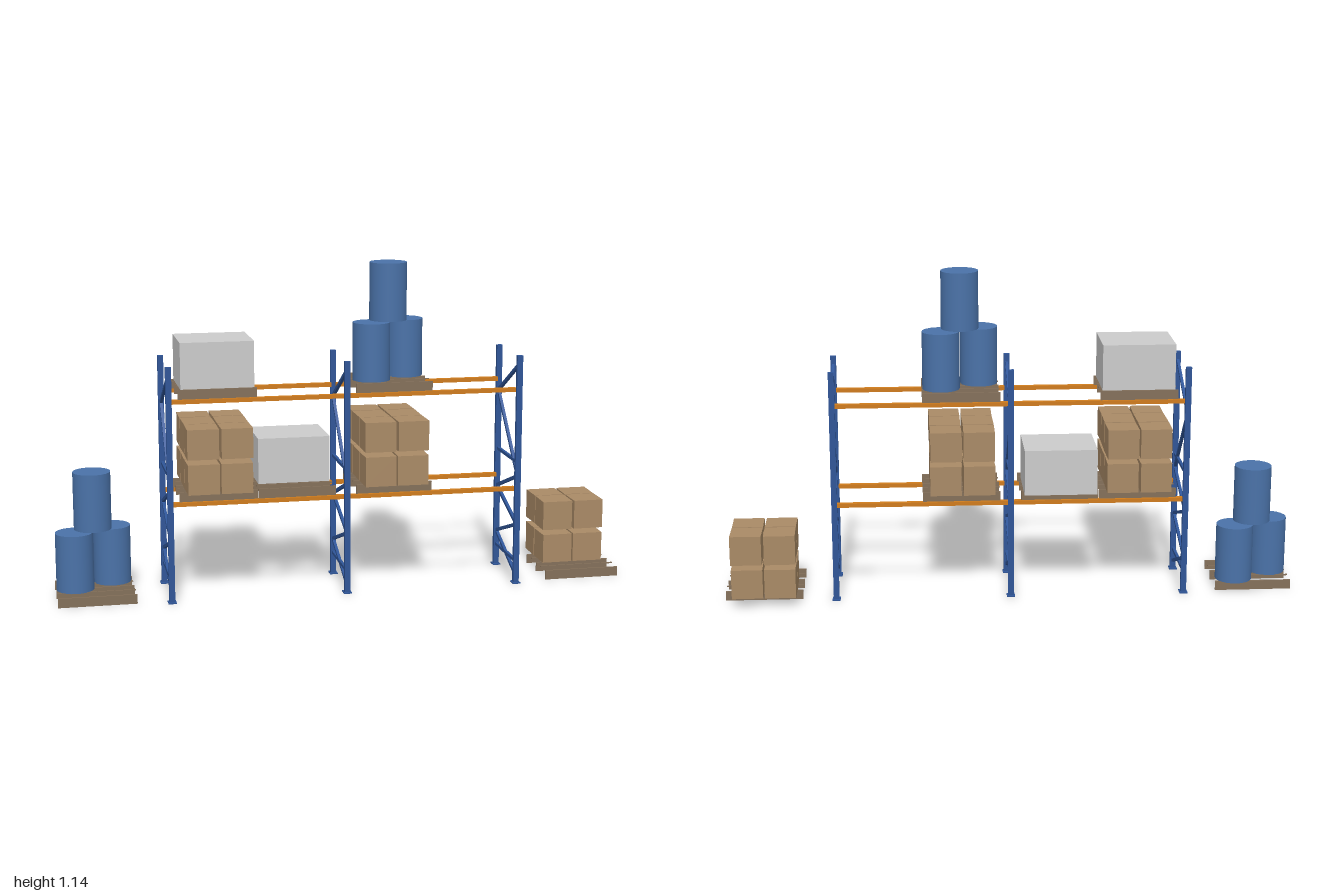
import * as THREE from 'three';

const paint = (color, flat = false) => new THREE.MeshStandardMaterial({ color, flatShading: flat });
const steelBlue = paint(0x2f5597);
const drumBlue = paint(0x4a72a8);
const orange = paint(0xd07c1c);
const cardboard = paint(0xa98a66);
const wood = paint(0x84705a);
const grey = paint(0xcccccc);

const FRONT = 0.14, BACK = -0.11;      // post positions in z
const LEVELS = [0.35, 0.705];          // top of the beams

function box(name, material, w, h, d, x, y, z) {
  const mesh = new THREE.Mesh(new THREE.BoxGeometry(w, h, d), material);
  mesh.name = name;
  mesh.position.set(x, y, z);
  return mesh;
}

function group(name, ...children) {
  const g = new THREE.Group();
  g.name = name;
  if (children.length) g.add(...children);
  return g;
}

// Bar between two points in the plane of an upright frame
function brace(z0, y0, z1, y1) {
  const bar = box('brace', steelBlue, 0.01, 0.011, Math.hypot(z1 - z0, y1 - y0), 0, (y0 + y1) / 2, (z0 + z1) / 2);
  bar.rotation.x = -Math.atan2(y1 - y0, z1 - z0);
  return bar;
}

// Upright frame: two posts with feet and zigzag bracing
function uprightFrame(x) {
  const g = group('uprightFrame');
  for (const z of [FRONT, BACK]) {
    g.add(box('post', steelBlue, 0.02, 0.82, 0.015, 0, 0.41, z));
    g.add(box('footPlate', steelBlue, 0.028, 0.004, 0.034, 0, 0.002, z));
  }
  const zigzag = [0.03, 0.13, 0.215, 0.3, 0.39, 0.655, 0.79];
  for (let i = 0; i < zigzag.length - 1; i++) {
    const [a, b] = i % 2 ? [BACK, FRONT] : [FRONT, BACK];
    g.add(brace(a, zigzag[i], b, zigzag[i + 1]));
  }
  for (const y of [0.08, 0.44]) g.add(brace(FRONT, y, BACK, y));
  g.position.x = x;
  return g;
}

// Pallet: three stringers along x with narrow slats between them
function pallet(x, y) {
  const g = group('pallet');
  for (const z of [-0.097, 0.013, 0.123]) {
    g.add(box('stringer', wood, 0.27, 0.033, 0.006, 0, 0.0165, z));
  }
  for (const z of [-0.043, 0.067]) {
    g.add(box('slat', wood, 0.27, 0.004, 0.005, 0, 0.032, z));
  }
  g.position.set(x, y, 0);
  return g;
}

// Two drums side by side on the diagonal, one on top
function drumStack(x, y, z) {
  const g = group('drumStack');
  for (const [dx, dy, dz] of [[-0.067, 0, 0.037], [0.067, 0, -0.041], [0, 0.203, 0]]) {
    const drum = new THREE.Mesh(new THREE.CylinderGeometry(0.065, 0.065, 0.202, 24), drumBlue);
    drum.name = 'drum';
    drum.position.set(dx, dy + 0.101, dz);
    g.add(drum);
  }
  g.position.set(x, y, z);
  return g;
}

// Two layers of cartons, two across, in rows given as [centre z, depth]
function cartonStack(x, y, rows, lift) {
  const g = group('cartonStack');
  rows.forEach(([z, depth], r) => {
    for (let layer = 0; layer < 2; layer++) {
      for (const side of [-1, 1]) {
        const carton = box('carton', cardboard, 0.108, 0.104, depth,
          side * 0.0575, 0.052 + layer * lift, z);
        carton.rotation.y = 0.014 * side * (layer ? 1 : -1) * (r % 2 ? -1 : 1);
        g.add(carton);
      }
    }
  });
  g.position.set(x, y, 0);
  return g;
}

export function createModel() {
  const model = group('palletRack');

  // Rack
  for (const x of [-0.613, 0, 0.613]) model.add(uprightFrame(x));
  for (const top of LEVELS) {
    for (const z of [FRONT - 0.013, BACK + 0.011]) {
      for (const side of [-1, 1]) {
        model.add(box('beam', orange, 0.596, 0.014, 0.018, side * 0.3065, top - 0.007, z));
      }
    }
  }

  // Pallets on the floor and on both levels
  const [low, high] = LEVELS;
  const spots = [[-0.865, 0], [0.865, 0], [-0.445, low], [-0.172, low], [0.17, low], [-0.445, high], [0.17, high]];
  for (const [x, y] of spots) model.add(pallet(x, y));

  // Drums
  model.add(drumStack(-0.867, 0.033, -0.021));
  model.add(drumStack(0.17, 0.738, 0.015));

  // Cartons
  const deepRows = [[0.131, 0.1], [0.017, 0.118], [-0.1, 0.1]];
  model.add(cartonStack(-0.445, low + 0.035, deepRows, 0.121));
  model.add(cartonStack(0.168, low + 0.035, deepRows, 0.121));
  model.add(cartonStack(0.861, 0.034, [[-0.022, 0.1], [-0.128, 0.1]], 0.122));

  // Large crates
  model.add(box('crate', grey, 0.252, 0.16, 0.214, -0.444, high + 0.112, 0.013));
  model.add(box('crate', grey, 0.252, 0.16, 0.214, -0.171, low + 0.114, -0.052));

  return model;
}
